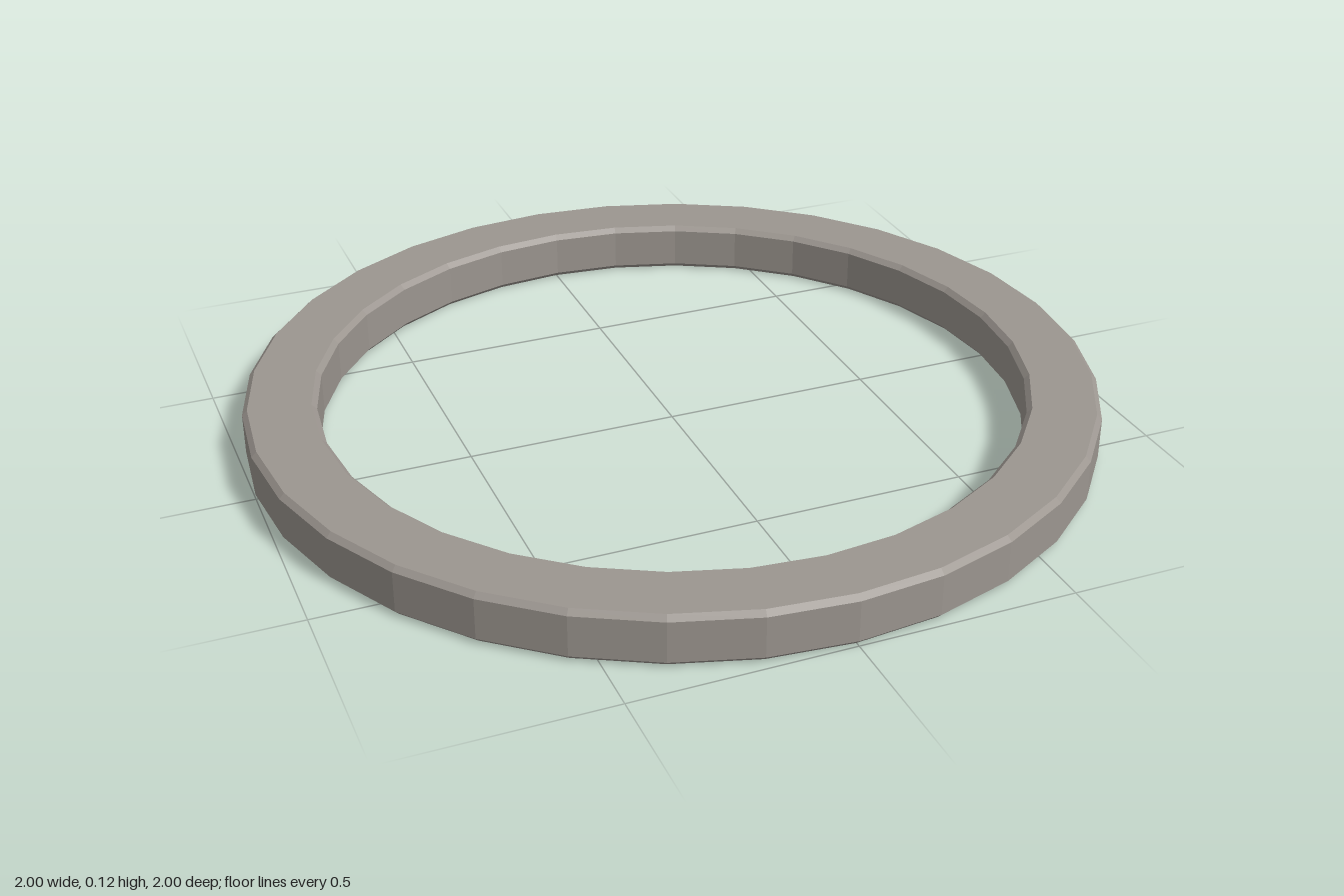
import * as THREE from 'three';

export function createModel() {
  const group = new THREE.Group();
  const stone = new THREE.MeshStandardMaterial({ color: 0x9c9690 });
  stone.name = 'warmGreyStone';

  // Closed cross-section (radius, height) with small chamfers on all four edges
  const outer = 1, inner = 0.83, height = 0.12, bevel = 0.012;
  const profile = [
    [outer - bevel, 0], [outer, bevel], [outer, height - bevel], [outer - bevel, height],
    [inner + bevel, height], [inner, height - bevel], [inner, bevel], [inner + bevel, 0],
    [outer - bevel, 0],
  ].map(([r, y]) => new THREE.Vector2(r, y));

  // Faceted 32-sided ring
  const geometry = new THREE.LatheGeometry(profile, 32).toNonIndexed();
  geometry.computeVertexNormals();
  const ring = new THREE.Mesh(geometry, stone);
  ring.name = 'ring';
  group.add(ring);
  return group;
}
